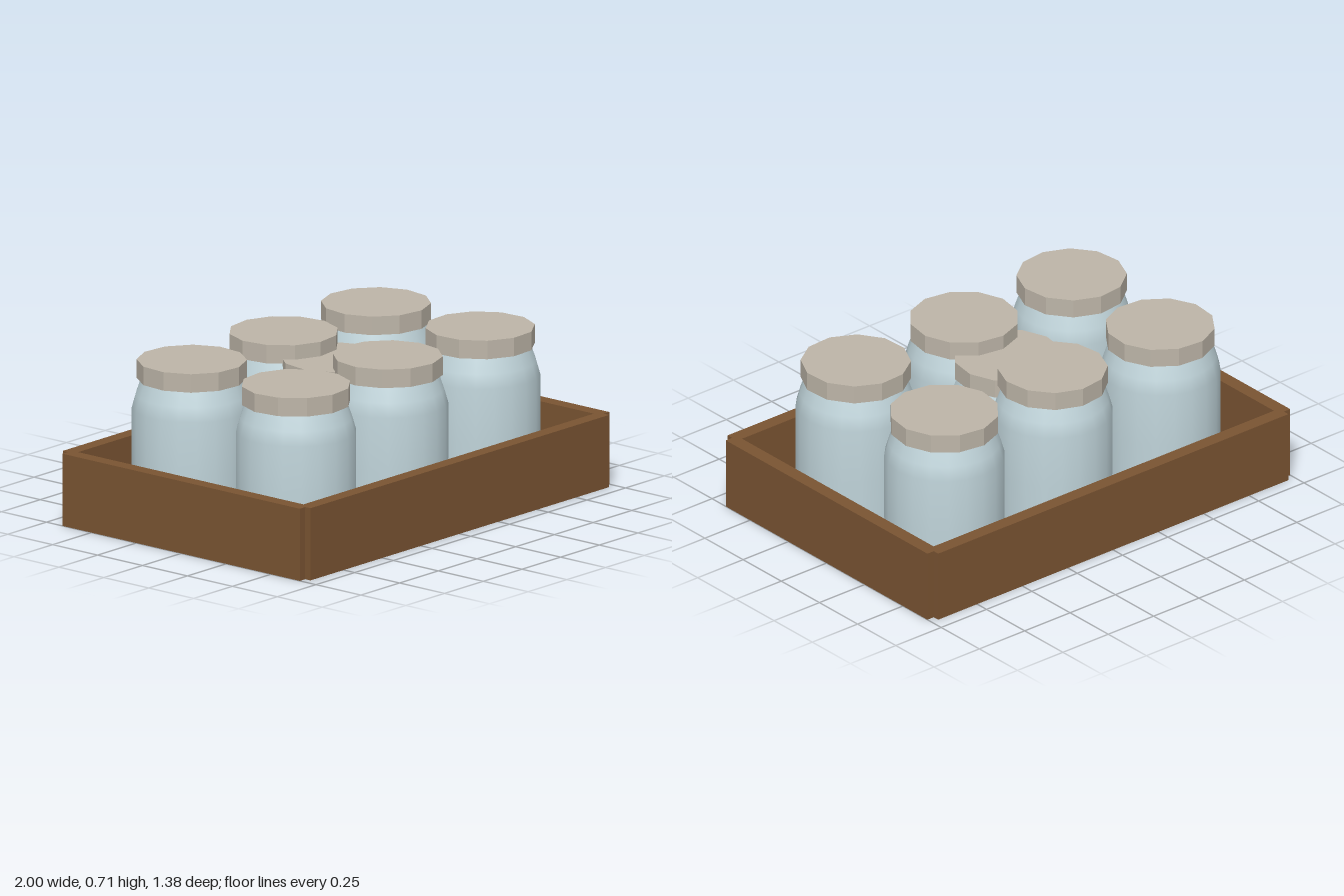
import * as THREE from 'three';

export function createModel() {
  const model = new THREE.Group();
  model.name = 'crateOfJars';

  const mat = (name, color, flatShading = false) => {
    const m = new THREE.MeshStandardMaterial({ color, flatShading });
    m.name = name;
    return m;
  };
  const wood = mat('wood', 0x7a5432);
  const glass = mat('paleGlass', 0xc0d4da);
  const lidMetal = mat('lid', 0xbdb5a8, true);

  const add = (parent, name, geometry, material, x = 0, y = 0, z = 0) => {
    const mesh = new THREE.Mesh(geometry, material);
    mesh.name = name;
    mesh.position.set(x, y, z);
    parent.add(mesh);
    return mesh;
  };

  // Crate: floor and four walls with notched corners
  const crate = new THREE.Group();
  crate.name = 'crate';
  model.add(crate);
  const wallH = 0.316, floorH = 0.064, t = 0.062;
  add(crate, 'floor', new THREE.BoxGeometry(1.93, floorH, 1.32), wood, 0, floorH / 2, 0);
  const longWall = new THREE.BoxGeometry(1.93, wallH, t);
  const shortWall = new THREE.BoxGeometry(t, wallH, 1.32);
  for (const s of [-1, 1]) {
    add(crate, s > 0 ? 'frontWall' : 'backWall', longWall, wood, 0, wallH / 2, s * (0.689 - t / 2));
    add(crate, s > 0 ? 'leftWall' : 'rightWall', shortWall, wood, s * (1 - t / 2), wallH / 2, 0);
  }

  // Jar: straight body, sloping shoulder, separate base and faceted lid
  const profile = [[0.252, 0], [0.255, 0.2], [0.255, 0.44], [0.238, 0.5], [0.212, 0.575]]
    .map(([r, y]) => new THREE.Vector2(r, y));
  const body = new THREE.LatheGeometry(profile, 20);
  const base = new THREE.CircleGeometry(0.252, 20).rotateX(Math.PI / 2);
  const lid = new THREE.CylinderGeometry(0.233, 0.233, 0.081, 12);

  const addJar = (x, y, z, turn) => {
    const jar = new THREE.Group();
    jar.name = 'jar';
    jar.position.set(x, y, z);
    jar.rotation.y = turn;
    add(jar, 'jarBody', body, glass);
    add(jar, 'jarBase', base, glass);
    add(jar, 'jarLid', lid, lidMetal, 0, 0.606, 0);
    model.add(jar);
  };

  // Two rows of three, each turned a little, and one lower jar in the middle
  [-0.29, 0.29].forEach((z, row) => {
    [-0.595, -0.002, 0.595].forEach((x, col) => addJar(x, floorH, z, -0.14 + 0.23 * col + 0.31 * (1 - row)));
  });
  addJar(-0.002, 0.001, 0, 0.1);

  return model;
}
